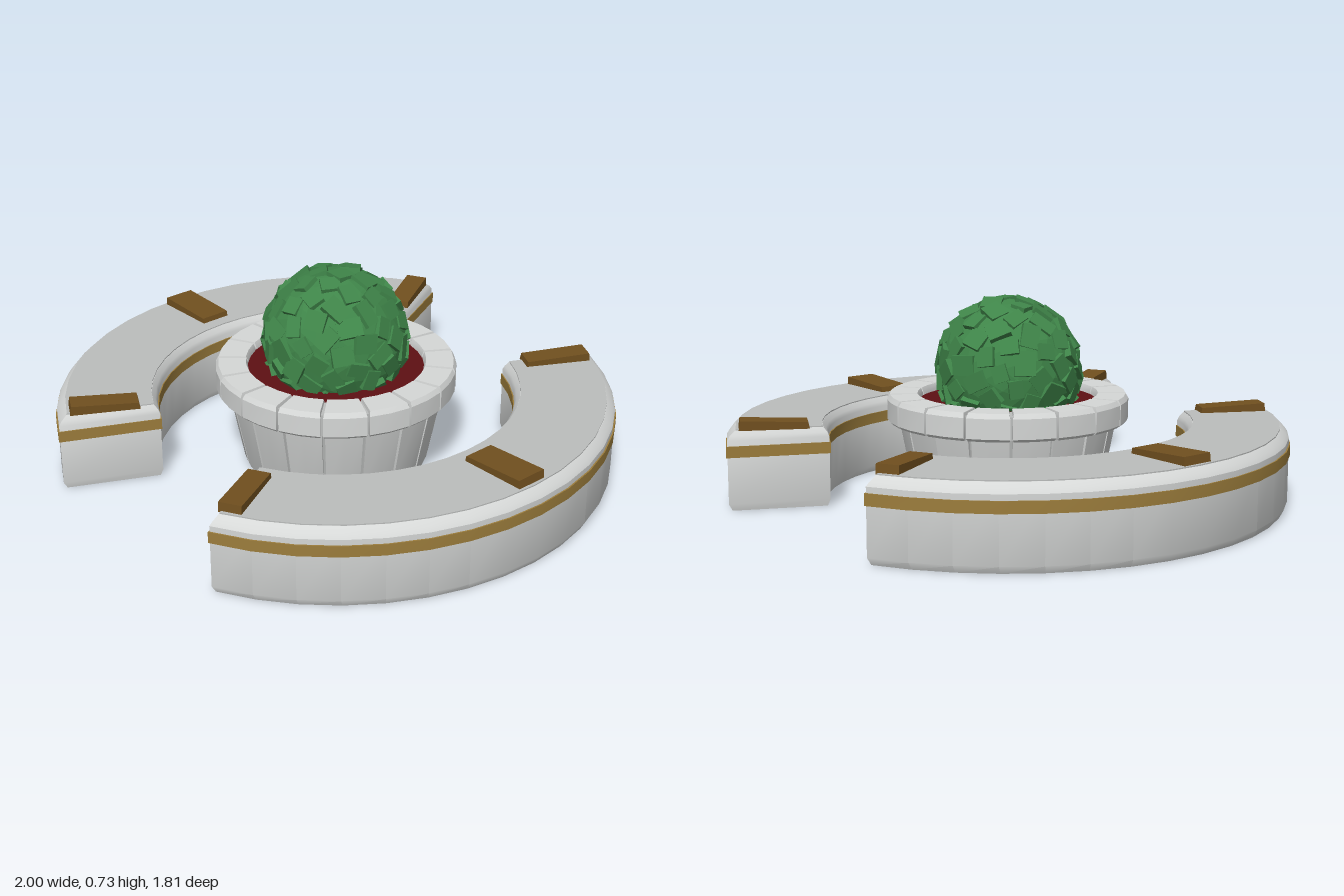
import * as THREE from 'three';
import { mergeGeometries, toCreasedNormals } from 'three/addons/utils/BufferGeometryUtils.js';

const mat = (name, color, flat = false) => {
  const m = new THREE.MeshStandardMaterial({ color, flatShading: flat });
  m.name = name;
  return m;
};

// Solid ring sector stacked from layers [inner radius, outer radius, half angle, y], centred on angle 0 (+x)
function arcBlock(layers, n, mid = 0) {
  const pos = [], idx = [], m = 2 * (n + 1);
  for (const [rIn, rOut, half, y] of layers) {
    for (let k = 0; k < m; k++) {
      const outer = k <= n;
      const t = outer ? k / n : (m - 1 - k) / n;
      const a = mid + half * (2 * t - 1), r = outer ? rOut : rIn;
      pos.push(r * Math.cos(a), y, r * Math.sin(a));
    }
  }
  for (let l = 0; l < layers.length - 1; l++) {
    for (let k = 0; k < m; k++) {
      const b = l * m + k, c = l * m + (k + 1) % m;
      idx.push(b, b + m, c, c, b + m, c + m);
    }
  }
  const top = (layers.length - 1) * m;
  for (let k = 0; k < n; k++) {
    const o = k, p = k + 1, i = m - 1 - k, j = m - 2 - k;
    idx.push(top + o, top + i, top + p, top + p, top + i, top + j);
    idx.push(o, p, i, p, j, i);
  }
  const g = new THREE.BufferGeometry();
  g.setAttribute('position', new THREE.Float32BufferAttribute(pos, 3));
  g.setIndex(idx);
  return toCreasedNormals(g, 0.5);
}

function seeded(seed) {
  return () => {
    seed = (seed * 16807) % 2147483647;
    return seed / 2147483647;
  };
}

export function createModel() {
  const stone = mat('pale stone', 0xd6d8d7);
  const seatStone = mat('seat stone', 0xbcbebd);
  const brass = mat('brass band', 0x9c7d3c);
  const bronze = mat('bronze block', 0x71501f);
  const soilRed = mat('dark red soil', 0x5e1013);
  const green = mat('leaf green', 0x3f8549, true);

  const model = new THREE.Group();
  const add = (parent, name, geometry, material) => {
    const mesh = new THREE.Mesh(geometry, material);
    mesh.name = name;
    parent.add(mesh);
    return mesh;
  };

  // Curved benches, one on each side
  const H = 1.127;
  for (const side of [1, -1]) {
    const bench = new THREE.Group();
    bench.name = side > 0 ? 'leftBench' : 'rightBench';
    bench.rotation.y = side > 0 ? 0 : Math.PI;
    model.add(bench);

    add(bench, 'benchBody', arcBlock([
      [0.65, 0.982, H - 0.008, 0], [0.641, 0.995, H, 0.025], [0.641, 0.995, H, 0.25],
      [0.647, 0.985, H - 0.008, 0.265], [0.66, 0.965, H - 0.02, 0.282],
    ], 16), stone);
    add(bench, 'bandTrim', arcBlock([
      [0.637, 1, H + 0.004, 0.19], [0.637, 1, H + 0.004, 0.23],
    ], 16), brass);
    add(bench, 'seatPanel', arcBlock([
      [0.661, 0.964, H - 0.021, 0.28], [0.661, 0.964, H - 0.021, 0.286],
    ], 16), seatStone);

    // Bronze blocks across the seat: middle and both ends
    for (const [a, w] of [[0, 0.115], [1.075, 0.08], [-1.075, 0.08]]) {
      const g = new THREE.BoxGeometry(0.245, 0.034, w);
      const p = g.attributes.position;
      for (let i = 0; i < p.count; i++) {
        if (p.getY(i) > 0) {
          p.setX(i, p.getX(i) * 0.96);
          if (p.getX(i) < 0) p.setY(i, 0.007);
        }
      }
      g.computeVertexNormals();
      const block = add(bench, 'seatBlock', g, bronze);
      block.position.set(0.83 * Math.cos(a), 0.298, 0.83 * Math.sin(a));
      block.rotation.y = -a;
    }
  }

  // Planter: tapered staves below a ring of capstones
  const planter = new THREE.Group();
  planter.name = 'planter';
  model.add(planter);
  const N = 17, half = Math.PI / N;
  const staves = [], caps = [];
  for (let i = 0; i < N; i++) {
    const mid = Math.PI / 2 + (2 * i + 1) * half;
    staves.push(arcBlock([
      [0.26, 0.328, half - 0.022, 0.004], [0.26, 0.335, half - 0.014, 0.02],
      [0.3, 0.388, half - 0.014, 0.29],
    ], 2, mid));
    caps.push(arcBlock([
      [0.325, 0.42, half - 0.016, 0.285], [0.318, 0.43, half - 0.01, 0.295],
      [0.315, 0.43, half - 0.01, 0.365], [0.322, 0.42, half - 0.018, 0.382],
    ], 2, mid));
  }
  add(planter, 'staves', mergeGeometries(staves), stone);
  add(planter, 'rimStones', mergeGeometries(caps), stone);
  const core = add(planter, 'core', new THREE.CylinderGeometry(0.377, 0.322, 0.3, 34), seatStone);
  core.position.y = 0.15;
  const rimCore = add(planter, 'rimCore', arcBlock([
    [0.322, 0.415, Math.PI, 0.289], [0.322, 0.415, Math.PI, 0.37],
  ], 34), seatStone);
  rimCore.rotation.y = 0.1;
  const soil = add(planter, 'soil', new THREE.CylinderGeometry(0.322, 0.322, 0.06, 34), soilRed);
  soil.position.y = 0.325;

  // Clipped round bush covered in tilted leaf plates
  const bush = new THREE.Group();
  bush.name = 'bush';
  bush.position.set(-0.005, 0.465, 0);
  model.add(bush);
  add(bush, 'bushCore', new THREE.IcosahedronGeometry(0.252, 3), green);
  const rand = seeded(71), leaves = [], count = 120;
  const leaf = new THREE.Object3D();
  for (let i = 0; i < count; i++) {
    const y = 1 - 2 * (i + 0.5) / count, r = Math.sqrt(1 - y * y), a = i * 2.39996;
    leaf.position.set(r * Math.cos(a), y, r * Math.sin(a)).multiplyScalar(0.247);
    leaf.lookAt(leaf.position.clone().multiplyScalar(2));
    leaf.rotateZ(rand() * Math.PI);
    leaf.rotateX((rand() - 0.5) * 0.45);
    leaf.rotateY((rand() - 0.5) * 0.45);
    leaf.updateMatrix();
    const g = new THREE.BoxGeometry(0.055 + rand() * 0.035, 0.05 + rand() * 0.025, 0.022);
    leaves.push(g.applyMatrix4(leaf.matrix));
  }
  add(bush, 'leafPlates', mergeGeometries(leaves), green);

  return model;
}
